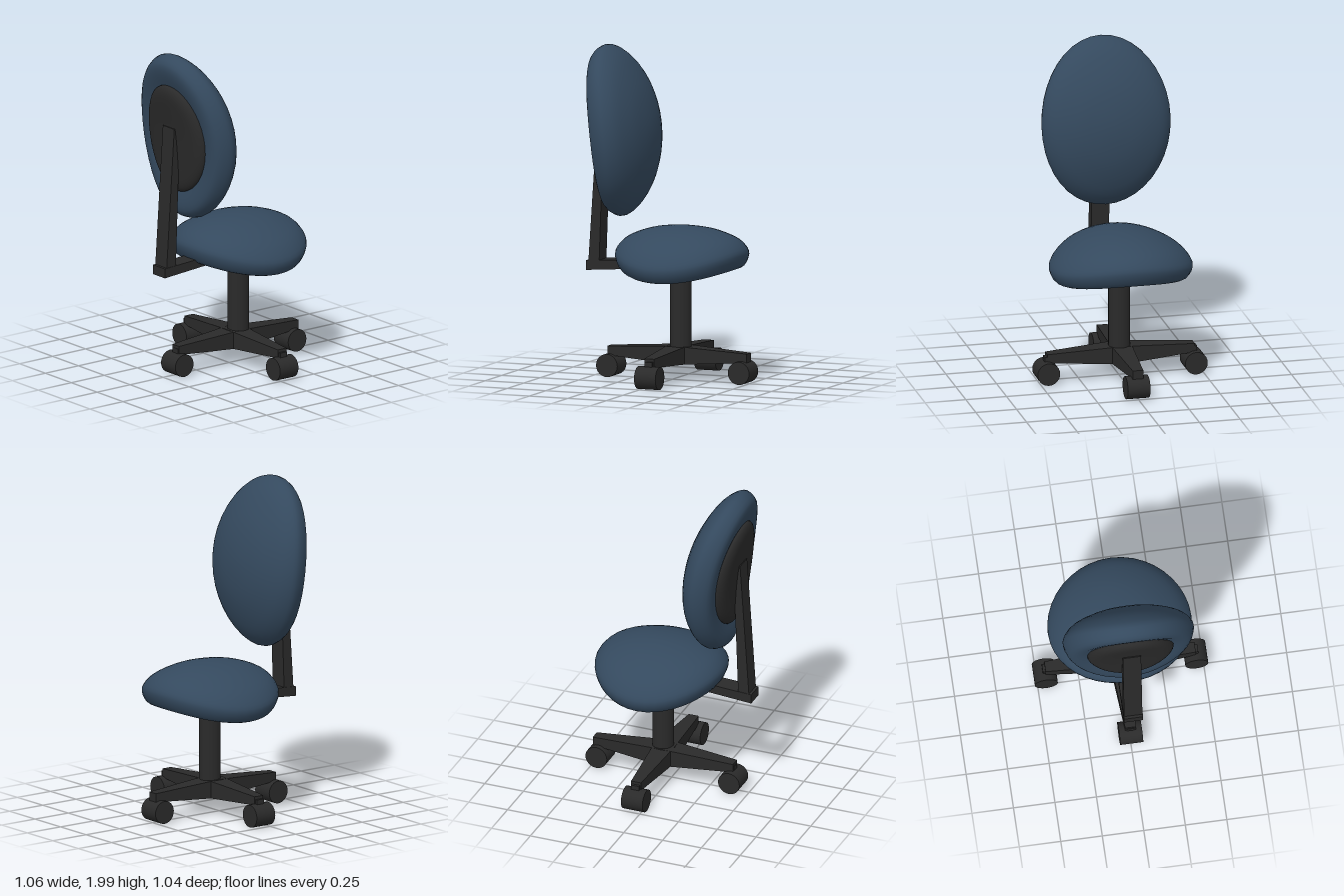
import * as THREE from 'three';
import { mergeVertices } from 'three/addons/utils/BufferGeometryUtils.js';

const fabric = new THREE.MeshStandardMaterial({ color: 0x34495e });
const plastic = new THREE.MeshStandardMaterial({ color: 0x2a2a2a });

function add(parent, name, geometry, material, x = 0, y = 0, z = 0) {
  const mesh = new THREE.Mesh(geometry, material);
  mesh.name = name;
  mesh.position.set(x, y, z);
  parent.add(mesh);
  return mesh;
}

// Oval pad: a lathed profile, stretched to an ellipse and bent down along z
function padGeometry(profile, rx, rz) {
  const curve = new THREE.SplineCurve(profile.map(([r, y]) => new THREE.Vector2(r, y)));
  const points = curve.getPoints(28);
  points.forEach((p) => { p.x = Math.max(p.x, 0); });
  let g = new THREE.LatheGeometry(points, 40);
  const p = g.attributes.position;
  for (let i = 0; i < p.count; i++) {
    const z = p.getZ(i) * rz;
    p.setXYZ(i, p.getX(i) * rx, p.getY(i) - 0.4 * z * z, z);
  }
  g.deleteAttribute('uv');
  g.deleteAttribute('normal');
  g = mergeVertices(g, 1e-5);
  g.computeVertexNormals();
  return g;
}

// Side outline in x-y, extruded to a given width across z
function slab(outline, width) {
  const shape = new THREE.Shape(outline.map(([x, y]) => new THREE.Vector2(x, y)));
  const g = new THREE.ExtrudeGeometry(shape, { depth: width, bevelEnabled: false });
  return g.translate(0, 0, -width / 2);
}

// Base leg along +x, narrowing and thinning toward the tip
function legGeometry(length) {
  const g = new THREE.BoxGeometry(1, 1, 1).toNonIndexed();
  const p = g.attributes.position;
  for (let i = 0; i < p.count; i++) {
    const tip = p.getX(i) > 0;
    const top = p.getY(i) > 0;
    p.setXYZ(i, tip ? length : 0,
      top ? (tip ? 0.183 : 0.21) : (tip ? 0.13 : 0.098),
      Math.sign(p.getZ(i)) * (tip ? 0.032 : 0.065));
  }
  g.computeVertexNormals();
  return g;
}

export function createModel() {
  const model = new THREE.Group();
  model.name = 'officeChair';

  // Shared cushion and its shell underneath
  const cushion = padGeometry([[0, -0.06], [0.3, -0.065], [0.6, -0.088], [0.8, -0.094],
    [0.93, -0.07], [1, 0], [0.95, 0.05], [0.8, 0.098], [0.5, 0.14], [0.2, 0.157], [0, 0.16]], 0.395, 0.432);
  const shell = padGeometry([[0, -0.125], [0.5, -0.122], [0.85, -0.11], [1, -0.08],
    [0.9, -0.05], [0.5, -0.035], [0, -0.03]], 0.26, 0.28);

  // Seat
  const seat = new THREE.Group();
  seat.name = 'seat';
  seat.position.set(0.065, 0.77, 0.003);
  add(seat, 'seatCushion', cushion, fabric);
  add(seat, 'seatShell', shell, plastic);
  model.add(seat);

  // Backrest: the same pad stood upright, made taller and tilted back
  const backrest = new THREE.Group();
  backrest.name = 'backrest';
  backrest.position.set(-0.3, 1.49, 0.005);
  backrest.rotation.z = 0.115;
  const upright = new THREE.Group();
  upright.name = 'uprightPad';
  upright.quaternion.setFromRotationMatrix(new THREE.Matrix4().makeBasis(
    new THREE.Vector3(0, 0, 1), new THREE.Vector3(1, 0, 0), new THREE.Vector3(0, 1, 0)));
  upright.scale.set(1, 1, 1.195);
  add(upright, 'backCushion', cushion, fabric);
  add(upright, 'backShell', shell, plastic).scale.y = 1.18;
  backrest.add(upright);
  model.add(backrest);

  // Bracket joining the seat to the backrest
  add(model, 'bracketArm', slab([[-0.535, 0.637], [-0.2, 0.662], [0.06, 0.68], [0.06, 0.735],
    [-0.2, 0.715], [-0.535, 0.695]], 0.115), plastic, 0, 0, 0.004);
  add(model, 'backPost', slab([[-0.52, 0.68], [-0.45, 0.68], [-0.43, 1.25], [-0.42, 1.55],
    [-0.462, 1.55]], 0.11), plastic, 0, 0, 0.004);

  // Column
  add(model, 'column', new THREE.CylinderGeometry(0.065, 0.065, 0.53, 24), plastic, 0.06, 0.425, 0.012);

  // Four legs with a roller under each tip
  const base = new THREE.Group();
  base.name = 'base';
  base.position.set(0.045, 0, 0.003);
  const leg = legGeometry(0.452);
  const roller = new THREE.CylinderGeometry(0.069, 0.069, 0.138, 24).rotateX(Math.PI / 2);
  const rollerReach = [0.415, 0.453, 0.44, 0.453];
  rollerReach.forEach((reach, i) => {
    const arm = new THREE.Group();
    arm.name = 'legAndRoller' + (i + 1);
    arm.rotation.y = i * Math.PI / 2;
    add(arm, 'leg', leg, plastic);
    add(arm, 'roller', roller, plastic, reach, 0.069, 0);
    add(arm, 'rollerStem', new THREE.BoxGeometry(0.05, 0.06, 0.05), plastic, reach - 0.01, 0.135, 0);
    base.add(arm);
  });
  model.add(base);

  return model;
}
